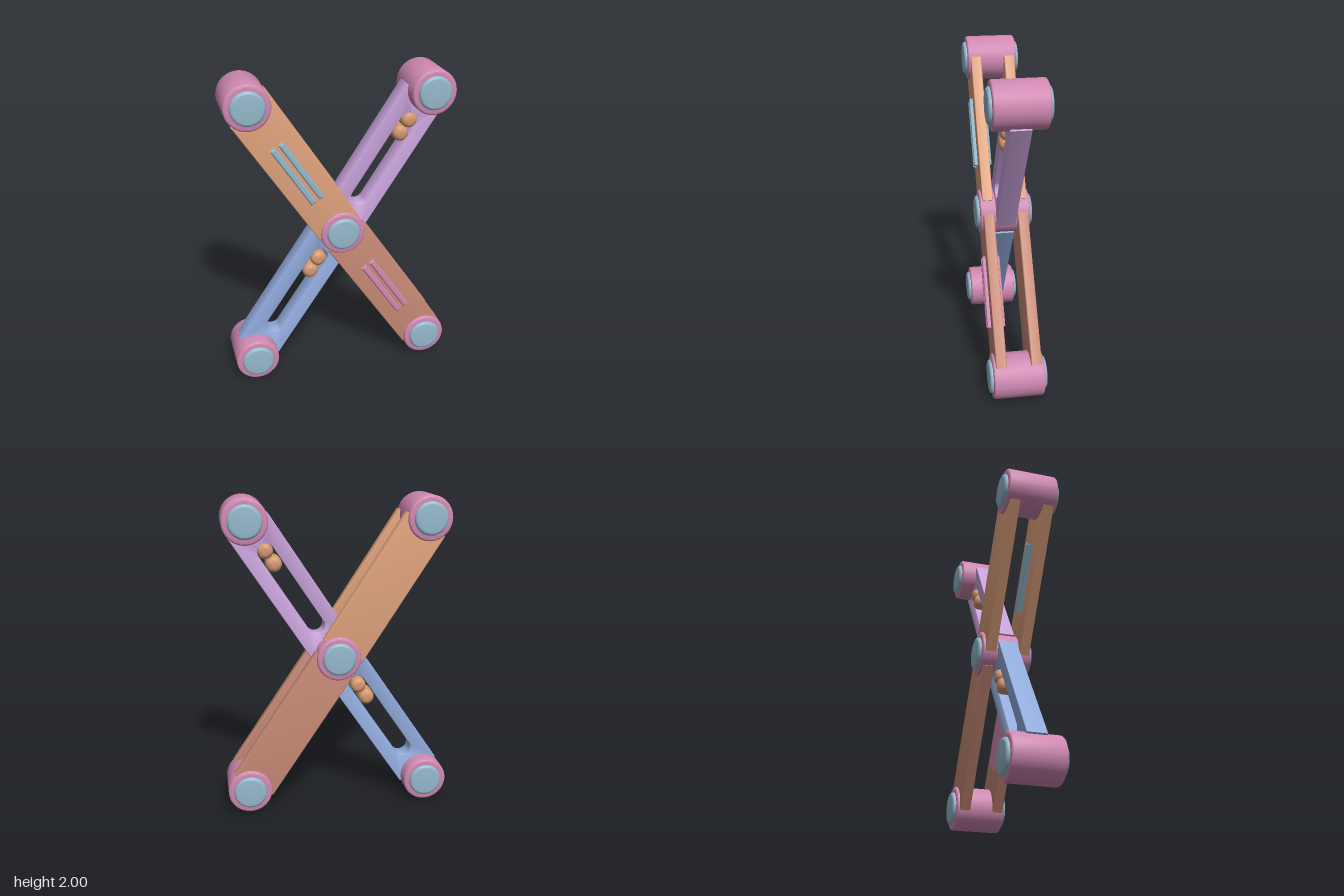
import * as THREE from 'three';
import { toCreasedNormals } from 'three/addons/utils/BufferGeometryUtils.js';

const mat = (color) => new THREE.MeshStandardMaterial({ color });
const pink = mat(0xd089b2), steel = mat(0x93b7ca), orange = mat(0xdfa27c);
const rust = mat(0xc88a76), violet = mat(0xcba5de), blue = mat(0x94aee0), copper = mat(0xd3976f);

// Solid between z0 and z1 with rounded edges that stay inside the outline
function solid(name, shape, z0, z1, bevel, material) {
  const geo = new THREE.ExtrudeGeometry(shape, {
    depth: z1 - z0 - 2 * bevel, bevelSize: bevel, bevelThickness: bevel,
    bevelOffset: -bevel, bevelSegments: 4, curveSegments: 28,
  });
  geo.translate(0, 0, z0 + bevel);
  const mesh = new THREE.Mesh(toCreasedNormals(geo, 0.6), material);
  mesh.name = name;
  return mesh;
}

function circle(r) {
  return new THREE.Shape().absarc(0, 0, r, 0, Math.PI * 2);
}

// Rectangle running along x from a to b
function bar(a, b, width) {
  const h = width / 2;
  return new THREE.Shape([[a, -h], [b, -h], [b, h], [a, h]].map(([x, y]) => new THREE.Vector2(x, y)));
}

// Round-ended slot running along x, with end centres a and b
function slot(a, b, r) {
  const path = new THREE.Path();
  path.absarc(b, 0, r, -Math.PI / 2, Math.PI / 2);
  path.absarc(a, 0, r, Math.PI / 2, Math.PI * 1.5);
  path.closePath();
  return path;
}

// Group whose x axis runs from one joint to another
function linkGroup(name, from, to) {
  const g = new THREE.Group();
  g.name = name;
  g.position.set(from[0], from[1], 0);
  g.rotation.z = Math.atan2(to[1] - from[1], to[0] - from[0]);
  g.userData.length = Math.hypot(to[0] - from[0], to[1] - from[1]);
  return g;
}

const WIDTH = 0.288, GAP = 0.045;

// Twin outer plates with a pair of raised ribs on the front one
function plateLink(name, from, to, plateMat, ribMat) {
  const g = linkGroup(name, from, to), L = g.userData.length;
  const outline = bar(GAP, L - GAP, WIDTH);
  g.add(solid('frontPlate', outline, 0.074, 0.14, 0.008, plateMat));
  g.add(solid('backPlate', outline, -0.14, -0.074, 0.008, plateMat));
  for (const side of [-1, 1]) {
    const rib = solid('rib', bar(L / 2 - 0.222, L / 2 + 0.222, 0.038), 0.05, 0.162, 0.012, ribMat);
    rib.position.y = side * 0.03;
    g.add(rib);
  }
  return g;
}

// Single slotted middle bar with two pins in its slot
function slottedLink(name, from, to, barMat, pinStart) {
  const g = linkGroup(name, from, to), L = g.userData.length;
  const outline = bar(GAP, L - GAP, WIDTH);
  outline.holes.push(slot(0.237, L - 0.237, 0.053));
  g.add(solid('slottedBar', outline, -0.061, 0.061, 0.006, barMat));
  for (const t of [pinStart, pinStart + 0.097]) {
    const pin = solid('slotPin', circle(0.05), -0.083, 0.083, 0.034, copper);
    pin.position.x = t;
    g.add(pin);
  }
  return g;
}

// Hub with a pin showing at both ends
function joint(name, [x, y]) {
  const g = new THREE.Group();
  g.name = name;
  g.add(solid('hub', circle(0.14), -0.157, 0.157, 0.015, pink));
  g.add(solid('hubPin', circle(0.104), -0.177, 0.177, 0.018, steel));
  g.position.set(x, y, 0);
  return g;
}

export function createModel() {
  const model = new THREE.Group();
  model.name = 'crossedLinkage';

  const joints = {
    centerJoint: [-0.002, 0.998],
    upperRightJoint: [-0.565, 1.86],
    upperLeftJoint: [0.561, 1.86],
    lowerRightJoint: [-0.577, 0.14],
    lowerLeftJoint: [0.574, 0.14],
  };
  for (const [name, p] of Object.entries(joints)) model.add(joint(name, p));

  const c = joints.centerJoint;
  model.add(
    plateLink('upperPlateLink', joints.upperRightJoint, c, orange, steel),
    plateLink('lowerPlateLink', c, joints.lowerLeftJoint, rust, pink),
    slottedLink('upperSlottedLink', joints.upperLeftJoint, c, violet, 0.224),
    slottedLink('lowerSlottedLink', c, joints.lowerRightJoint, blue, 0.25),
  );
  return model;
}
